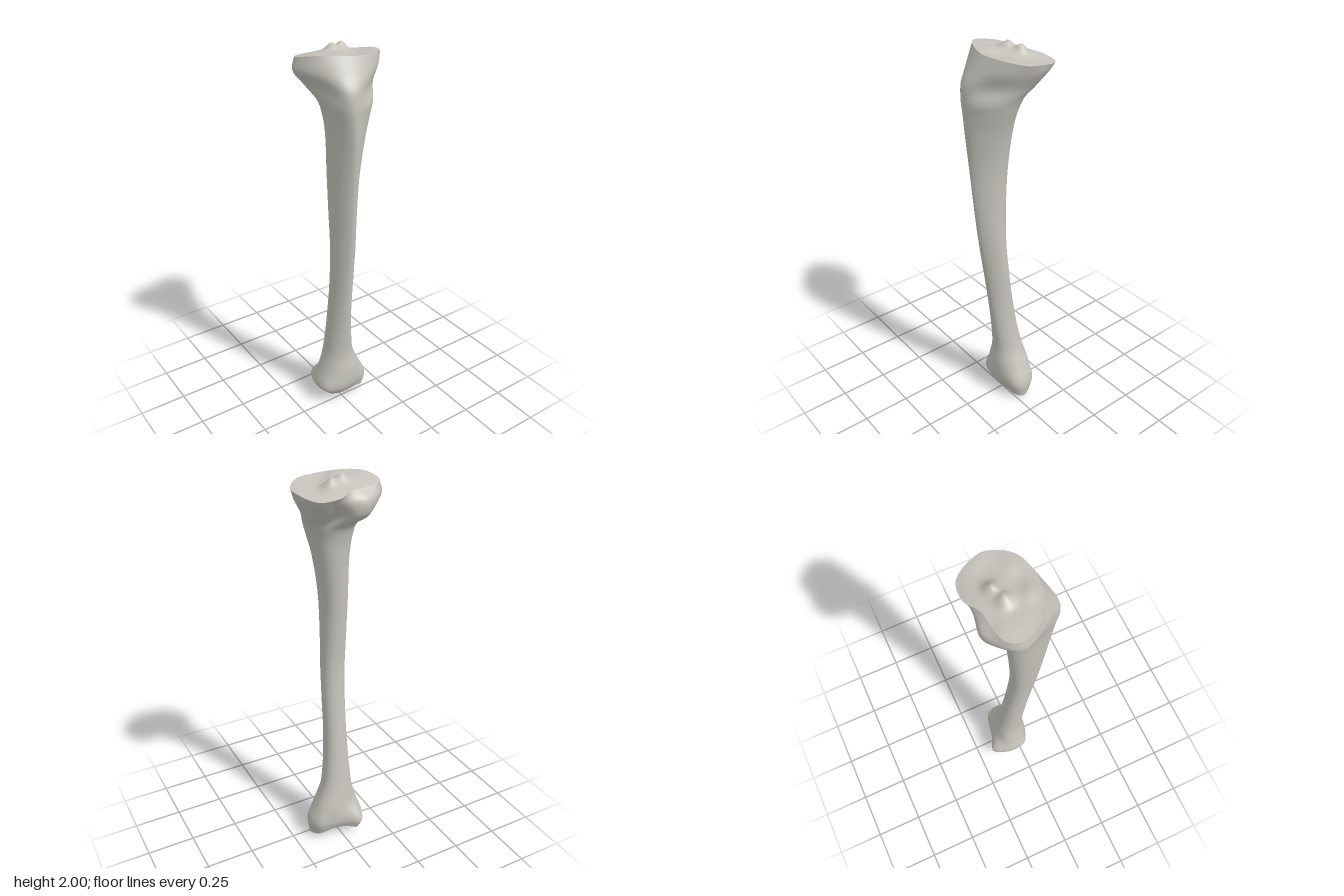
import * as THREE from 'three';

const N = 60; // points around each cross-section
const gauss = (x, z, cx, cz, r) => Math.exp(-((x - cx) ** 2 + (z - cz) ** 2) / (r * r));

// Shaft sections: [y, xMin, xMax, zMin, zMax, x of the front crest, crest sharpness]
const SHAFT = [
  [0.2, -0.11, 0.128, -0.13, 0.062, 0.0, 0.9],
  [0.3, -0.085, 0.085, -0.11, 0.05, 0.0, 0.95],
  [0.4, -0.078, 0.065, -0.09, 0.055, 0.0, 1.0],
  [0.6, -0.073, 0.048, -0.06, 0.075, -0.01, 1.1],
  [0.8, -0.075, 0.046, -0.035, 0.1, -0.02, 1.2],
  [1.0, -0.082, 0.042, -0.02, 0.127, -0.025, 1.25],
  [1.2, -0.09, 0.037, -0.025, 0.148, -0.03, 1.25],
  [1.4, -0.095, 0.043, -0.035, 0.165, -0.035, 1.2],
  [1.6, -0.1, 0.075, -0.047, 0.183, -0.04, 1.15],
  [1.7, -0.115, 0.105, -0.058, 0.187, -0.045, 1.1],
  [1.76, -0.13, 0.125, -0.08, 0.188, -0.05, 1.05],
];

// End sections: twelve x, z pairs from the left side round by the front
const ANKLE_RIM = [0.16, -0.03, 0.135, 0.005, 0.075, 0.03, 0, 0.035, -0.05, 0.03, -0.085, 0.015,
  -0.105, -0.03, -0.1, -0.1, -0.075, -0.155, -0.01, -0.13, 0.055, -0.115, 0.13, -0.09];
const ANKLE_RIM_Y = [0.02, 0.025, 0.05, 0.05, 0.055, 0.06, 0.065, 0.06, 0.05, 0.06, 0.06, 0.035];
const ANKLE = [0.167, -0.03, 0.145, 0.02, 0.085, 0.045, 0, 0.06, -0.06, 0.055, -0.115, 0.03,
  -0.135, -0.03, -0.125, -0.11, -0.085, -0.172, -0.01, -0.145, 0.06, -0.13, 0.14, -0.105];
const TUBEROSITY = [0.16, -0.04, 0.14, 0.05, 0.06, 0.13, -0.03, 0.18, -0.09, 0.165, -0.13, 0.08,
  -0.165, -0.04, -0.137, -0.115, -0.085, -0.165, -0.03, -0.16, 0.03, -0.11, 0.11, -0.11];
const CONDYLES = [0.203, -0.05, 0.178, 0.035, 0.11, 0.11, 0, 0.148, -0.1, 0.125, -0.175, 0.05,
  -0.217, -0.055, -0.172, -0.125, -0.09, -0.175, -0.02, -0.17, 0.06, -0.165, 0.145, -0.165];
const PLATEAU_RIM = [0.217, -0.05, 0.2, 0.02, 0.135, 0.087, 0.01, 0.115, -0.1, 0.085, -0.175, 0.03,
  -0.205, -0.05, -0.17, -0.112, -0.09, -0.132, -0.015, -0.145, 0.06, -0.187, 0.16, -0.172];
const PLATEAU_RIM_Y = [1.945, 1.95, 1.965, 1.97, 1.978, 1.977, 1.96, 1.95, 1.945, 1.945, 1.93, 1.922];

function shaftRing([y, x0, x1, z0, z1, crest, e]) {
  const side = z0 + 0.42 * (z1 - z0), back = (x0 + x1) / 2;
  return Array.from({ length: N }, (_, j) => {
    const t = (j / N) * Math.PI * 2, c = Math.cos(t), s = Math.sin(t);
    const p = s >= 0 ? e : 0.9;
    const mid = s >= 0 ? crest : back;
    return new THREE.Vector3(
      mid + ((c >= 0 ? x1 : x0) - mid) * Math.abs(c) ** p, y,
      side + ((s >= 0 ? z1 : z0) - side) * Math.abs(s) ** p);
  });
}

function endRing(xz, y) {
  const pts = Array.from({ length: 12 }, (_, i) =>
    new THREE.Vector3(xz[2 * i], Array.isArray(y) ? y[i] : y, xz[2 * i + 1]));
  const curve = new THREE.CatmullRomCurve3(pts, true);
  return Array.from({ length: N }, (_, j) => curve.getPoint(j / N));
}

// Skin over rings ordered so that the outside faces out
function loft(name, rings, material) {
  const pos = [], index = [];
  rings.forEach((ring) => ring.forEach((p) => pos.push(p.x, p.y, p.z)));
  for (let r = 0; r < rings.length - 1; r++) {
    for (let j = 0; j < N; j++) {
      const k = (j + 1) % N, a = r * N, b = a + N;
      index.push(a + j, b + j, a + k, a + k, b + j, b + k);
    }
  }
  const g = new THREE.BufferGeometry();
  g.setAttribute('position', new THREE.Float32BufferAttribute(pos, 3));
  g.setIndex(index);
  g.computeVertexNormals();
  const mesh = new THREE.Mesh(g, material);
  mesh.name = name;
  return mesh;
}

// Rings shrinking from a rim to its centre, with relief added to the height
function capRings(rim, cx, cy, cz, relief) {
  const steps = 16;
  return Array.from({ length: steps + 1 }, (_, i) => {
    const s = Math.max(1 - i / steps, 0.002);
    return rim.map((p) => {
      const x = cx + (p.x - cx) * s, z = cz + (p.z - cz) * s;
      return new THREE.Vector3(x, cy + (p.y - cy) * s * s + relief(x, z) * (1 - s ** 6), z);
    });
  });
}

export function createModel() {
  const bone = new THREE.MeshStandardMaterial({ color: 0xc4c2ba });
  bone.name = 'bone grey';
  const group = new THREE.Group();
  group.name = 'shinBone';

  const ankleRim = endRing(ANKLE_RIM, ANKLE_RIM_Y);
  const plateauRim = endRing(PLATEAU_RIM, PLATEAU_RIM_Y);
  const sections = [ankleRim, endRing(ANKLE, 0.105), ...SHAFT.map(shaftRing),
    endRing(TUBEROSITY, 1.83), endRing(CONDYLES, 1.9), plateauRim];

  // Shaft with both flared ends, smoothed lengthwise
  const columns = Array.from({ length: N }, (_, j) =>
    new THREE.CatmullRomCurve3(sections.map((ring) => ring[j])));
  const rows = (sections.length - 1) * 5;
  const body = Array.from({ length: rows + 1 }, (_, r) => columns.map((c) => c.getPoint(r / rows)));
  group.add(loft('shaft', body, bone));

  // Knee surface: two shallow dishes parted by a pair of spines
  const kneeRelief = (x, z) =>
    0.036 * gauss(x, z, -0.02, -0.045, 0.035) + 0.036 * gauss(x, z, 0.048, -0.07, 0.03)
    + 0.012 * gauss(x, z, -0.04, 0.05, 0.04) - 0.014 * gauss(x, z, 0.13, -0.06, 0.07)
    - 0.008 * gauss(x, z, 0.05, 0.05, 0.04) + 0.008 * gauss(x, z, -0.13, -0.03, 0.07);
  group.add(loft('kneeSurface', capRings(plateauRim, 0.015, 1.962, -0.04, kneeRelief), bone));

  // Ankle surface: shallow arch with the inner ankle knob hanging below
  const ankleRelief = (x, z) => -0.052 * gauss(x, z, 0.128, -0.025, 0.032)
    + 0.012 * gauss(x, z, 0.04, -0.05, 0.05);
  const ankleCap = capRings(ankleRim, 0.01, 0.062, -0.05, ankleRelief).reverse();
  group.add(loft('ankleSurface', ankleCap, bone));

  // Stand on the ground
  const box = new THREE.Box3().setFromObject(group);
  group.children.forEach((m) => m.geometry.translate(0, -box.min.y, 0));
  return group;
}
